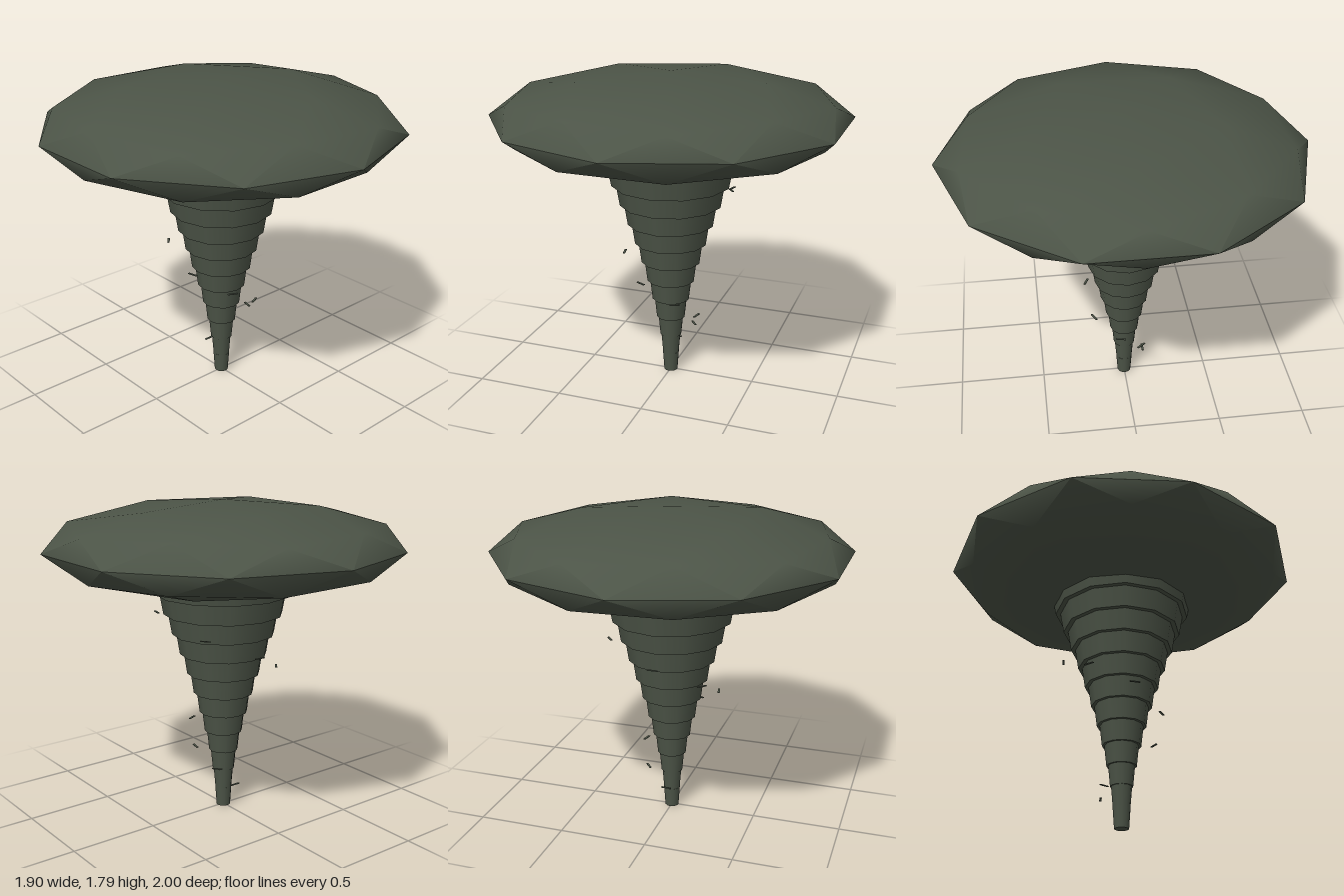
import * as THREE from 'three';
import { toCreasedNormals } from 'three/addons/utils/BufferGeometryUtils.js';

export function createModel() {
  const model = new THREE.Group();
  const green = new THREE.MeshStandardMaterial({ color: 0x4c5447 });
  green.name = 'dark moss green';

  const add = (name, geometry, parent = model) => {
    const mesh = new THREE.Mesh(geometry, green);
    mesh.name = name;
    parent.add(mesh);
    return mesh;
  };

  // Canopy: flattened icosphere standing on a vertex, sharp only at its rim
  const ico = new THREE.IcosahedronGeometry(1, 1);
  ico.rotateZ(-Math.atan(2 / (1 + Math.sqrt(5))));
  ico.scale(1, 0.247, 1);
  add('canopy', toCreasedNormals(ico, 1.2)).position.y = 1.544;

  // Trunk: stacked tapered segments flaring towards the canopy
  const trunk = new THREE.Group();
  trunk.name = 'trunk';
  model.add(trunk);
  const step = 0.1162;
  for (let i = 0; i < 12; i++) {
    const bottom = 0.04 + 0.345 * Math.pow(i / 11, 1.6);
    const top = bottom + 0.008 + 0.0013 * i;
    const segment = add('trunkSegment', new THREE.CylinderGeometry(top, bottom, step, 12), trunk);
    segment.position.y = (i + 0.5) * step;
  }

  // Slivers: small flat strips spiralling around the trunk
  const slivers = new THREE.Group();
  slivers.name = 'slivers';
  model.add(slivers);
  for (let i = 0; i < 10; i++) {
    const angle = 0.9 * i - Math.PI / 2;
    const radius = 0.113 + 0.0312 * i;
    const sliver = add('sliver', new THREE.BoxGeometry(0.012, 0.004, 0.058), slivers);
    sliver.position.set(Math.cos(angle) * radius, 0.16 + 0.1155 * i, Math.sin(angle) * radius);
    sliver.rotation.y = -angle;
  }

  return model;
}
